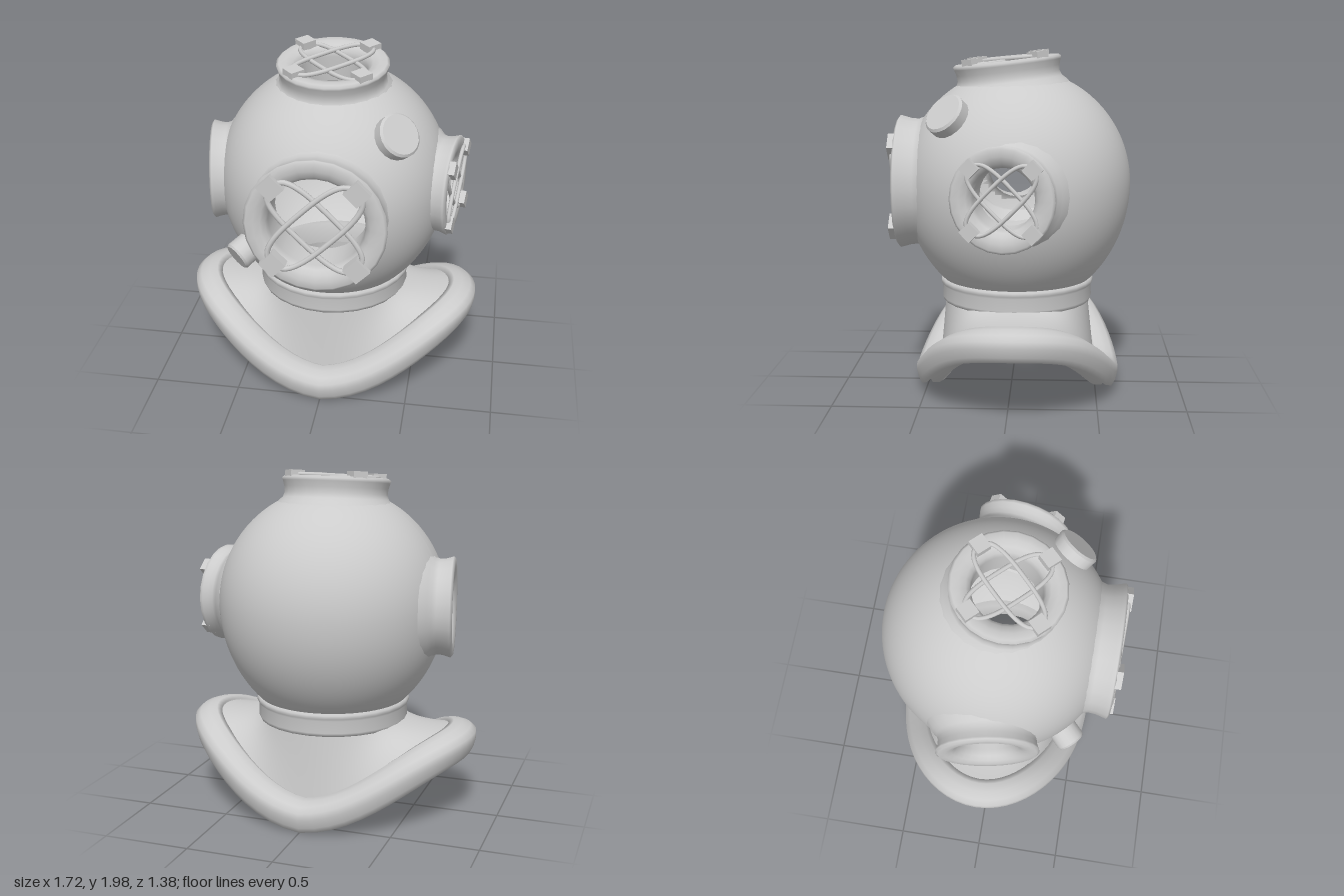
import * as THREE from 'three';

const mat = new THREE.MeshStandardMaterial({ color: 0xcccccc, side: THREE.DoubleSide });
const V = (x, y, z) => new THREE.Vector3(x, y, z);
const CENTER = V(0, 1.23, -0.03);

// Viewports: face centre, facing direction, outer and hole radius, depth of the collar on the shell
const tilt = 0.17;
const PORTS = [
  { name: 'frontPort', pos: V(0, 1.23, 0.66), dir: V(0, 0, 1), R: 0.39, hole: 0.265, depth: 0.19, grille: true },
  { name: 'leftPort', pos: V(0.71, 1.23, 0.025), dir: V(Math.cos(tilt), 0, Math.sin(tilt)), R: 0.288, hole: 0.168, depth: 0.14, grille: true },
  { name: 'rightPort', pos: V(-0.71, 1.23, 0.025), dir: V(-Math.cos(tilt), 0, Math.sin(tilt)), R: 0.288, hole: 0.168, depth: 0.14, grille: false },
  { name: 'topPort', pos: V(0, 1.94, 0.03), dir: V(0, Math.cos(0.115), Math.sin(0.115)), R: 0.314, hole: 0.19, depth: 0.15, grille: true },
];

function mesh(geo, name) {
  const m = new THREE.Mesh(geo, mat);
  m.name = name;
  return m;
}

function lathe(points, segments) {
  return new THREE.LatheGeometry(points.map(([r, y]) => new THREE.Vector2(r, y)), segments);
}

// Group at pos whose local +z faces dir
function facing(name, pos, dir) {
  const g = new THREE.Group();
  g.name = name;
  g.position.copy(pos);
  g.lookAt(pos.clone().add(dir));
  return g;
}

// Surface through rings of points; each ring closes on itself
function loft(rings, closeAcross) {
  const n = rings[0].length, pos = [], index = [];
  rings.forEach(r => r.forEach(p => pos.push(p.x, p.y, p.z)));
  const last = closeAcross ? rings.length : rings.length - 1;
  for (let i = 0; i < last; i++) {
    for (let j = 0; j < n; j++) {
      const a = i * n + j, b = i * n + (j + 1) % n;
      const i2 = (i + 1) % rings.length;
      const c = i2 * n + j, d = i2 * n + (j + 1) % n;
      index.push(a, b, c, b, d, c);
    }
  }
  const g = new THREE.BufferGeometry();
  g.setAttribute('position', new THREE.Float32BufferAttribute(pos, 3));
  g.setIndex(index);
  g.computeVertexNormals();
  return g;
}

// Round shell, longer below the middle, with an opening behind every port
function shellGeometry() {
  const g = new THREE.SphereGeometry(0.66, 96, 72, 0, Math.PI * 2, 0, 2.47);
  const p = g.attributes.position;
  for (let i = 0; i < p.count; i++) if (p.getY(i) < 0) p.setY(i, p.getY(i) * 1.12);
  g.computeVertexNormals();
  g.translate(CENTER.x, CENTER.y, CENTER.z);
  const kept = [], c = V(0, 0, 0), q = V(0, 0, 0);
  for (let i = 0; i < g.index.count; i += 3) {
    const tri = [0, 1, 2].map(k => g.index.getX(i + k));
    c.set(0, 0, 0);
    tri.forEach(k => c.add(q.fromBufferAttribute(p, k)));
    c.divideScalar(3);
    const open = PORTS.some(port => {
      const v = c.clone().sub(port.pos), along = v.dot(port.dir);
      return along > -0.4 && v.addScaledVector(port.dir, -along).length() < port.hole + 0.04;
    });
    if (!open) kept.push(...tri);
  }
  g.setIndex(kept);
  return g;
}

// Two crossed wire loops held by four clamps
function grille(R) {
  const g = new THREE.Group();
  g.name = 'grille';
  for (const side of [-1, 1]) {
    const pts = [];
    for (let i = 0; i < 32; i++) {
      const t = i / 32 * Math.PI * 2, c = Math.cos(t), s = Math.sin(t);
      pts.push(V(Math.sign(c) * Math.abs(c) ** 0.7 * R * 0.83, Math.sign(s) * Math.abs(s) ** 0.7 * R * 0.29, 0.006 * side));
    }
    const loop = mesh(new THREE.TubeGeometry(new THREE.CatmullRomCurve3(pts, true), 56, R * 0.04, 8, true), 'wireLoop');
    loop.rotation.z = side * Math.PI / 4;
    g.add(loop);
  }
  for (let i = 0; i < 4; i++) {
    const a = Math.PI / 4 + i * Math.PI / 2;
    const clamp = mesh(new THREE.BoxGeometry(R * 0.27, R * 0.27, 0.06), 'clamp');
    clamp.position.set(Math.cos(a) * R * 0.83, Math.sin(a) * R * 0.83, 0);
    clamp.rotation.z = a;
    g.add(clamp);
  }
  return g;
}

function viewport({ name, pos, dir, R, hole, depth, grille: hasGrille }) {
  const g = facing(name, pos, dir);
  const w = R - hole;
  // Collar blending out of the shell, over a rounded lip and into the opening
  const collar = lathe([[R * 1.16, -depth - 0.04], [R * 1.06, -depth + 0.005], [R * 0.975, -depth * 0.8],
    [R * 0.945, -depth * 0.62], [R * 0.955, -depth * 0.4], [R * 0.985, -depth * 0.18], [R, -0.012],
    [R - w * 0.12, 0], [R - w * 0.45, 0], [R - w * 0.75, -0.012], [R - w * 0.93, -0.035],
    [hole, -0.07], [hole, -depth - 0.07]], 24);
  g.add(mesh(collar.rotateX(Math.PI / 2), 'collar'));
  if (hasGrille) g.add(grille(R));
  return g;
}

// Round valve cap standing on the shell
function valveCap(name, pos, r, h) {
  const g = facing(name, pos, pos.clone().sub(CENTER));
  const side = new THREE.CylinderGeometry(r, r * 0.97, h, 20).rotateX(Math.PI / 2);
  const top = new THREE.CylinderGeometry(r * 0.9, r, 0.012, 20).rotateX(Math.PI / 2).translate(0, 0, h / 2 + 0.006);
  g.add(mesh(side, 'capBody'), mesh(top, 'capTop'));
  return g;
}

// Saddle-shaped breastplate with a thick rim
function breastplate() {
  const g = new THREE.Group();
  g.name = 'breastplate';
  const N = 64;
  const path = t => {
    const c = Math.abs(Math.cos(t)) ** 1.25;
    const rise = (c + THREE.MathUtils.smoothstep(c, 0, 1)) / 2;
    return V(0.78 * Math.cos(t), 0.095 + 0.378 * rise, -0.035 + 0.52 * Math.sin(t));
  };
  const frame = t => {
    const T = path(t + 0.01).sub(path(t - 0.01)).normalize();
    const out = V(T.z, 0, -T.x).normalize();
    return { p: path(t), out, up: T.clone().cross(out).multiplyScalar(Math.sign(T.clone().cross(out).y)) };
  };
  const at = (t, [o, u]) => {
    const f = frame(t);
    return f.p.addScaledVector(f.out, o).addScaledVector(f.up, u);
  };
  const angles = Array.from({ length: N }, (_, i) => i / N * Math.PI * 2);

  // Rim section: outward, upward, with a groove underneath
  const section = [[-0.08, 0.075], [-0.05, 0.088], [0.0, 0.085], [0.05, 0.068], [0.08, 0.04], [0.082, 0.0],
    [0.07, -0.05], [0.052, -0.082], [0.03, -0.082], [0.02, -0.062], [0.0, -0.062], [-0.01, -0.082],
    [-0.05, -0.082], [-0.08, -0.065]];
  g.add(mesh(loft(section.map(s => angles.map(t => at(t, s))), true), 'rim'));

  // Plate from the neck down to the rim
  const rings = [];
  for (let k = 0; k <= 10; k++) {
    const s = k / 10;
    rings.push(angles.map(t => {
      const end = at(t, [-0.06, 0.065]);
      const a = Math.atan2(end.z + 0.03, end.x);
      const start = V(0.42 * Math.cos(a), 0.56, -0.03 + 0.42 * Math.sin(a));
      const mid = start.clone().lerp(end, 0.45);
      mid.y -= 0.02;
      return start.multiplyScalar((1 - s) ** 2).addScaledVector(mid, 2 * s * (1 - s)).addScaledVector(end, s * s);
    }));
  }
  g.add(mesh(loft(rings, false), 'shoulderPlate'));
  return g;
}

export function createModel() {
  const model = new THREE.Group();
  model.name = 'divingHelmet';
  model.add(mesh(shellGeometry(), 'shell'));
  PORTS.forEach(p => model.add(viewport(p)));
  model.add(valveCap('largeValveCap', V(0.38, 1.632, 0.325), 0.125, 0.1));
  model.add(valveCap('smallValveCap', V(-0.433, 0.938, 0.43), 0.085, 0.12));

  // Neck ring with a raised upper lip
  const neck = mesh(lathe([[0.4, 0.54], [0.435, 0.54], [0.442, 0.56], [0.438, 0.63], [0.45, 0.645],
    [0.45, 0.665], [0.438, 0.675], [0.4, 0.675], [0.4, 0.54]], 28), 'neckRing');
  neck.position.z = -0.03;
  model.add(neck, breastplate());
  return model;
}
